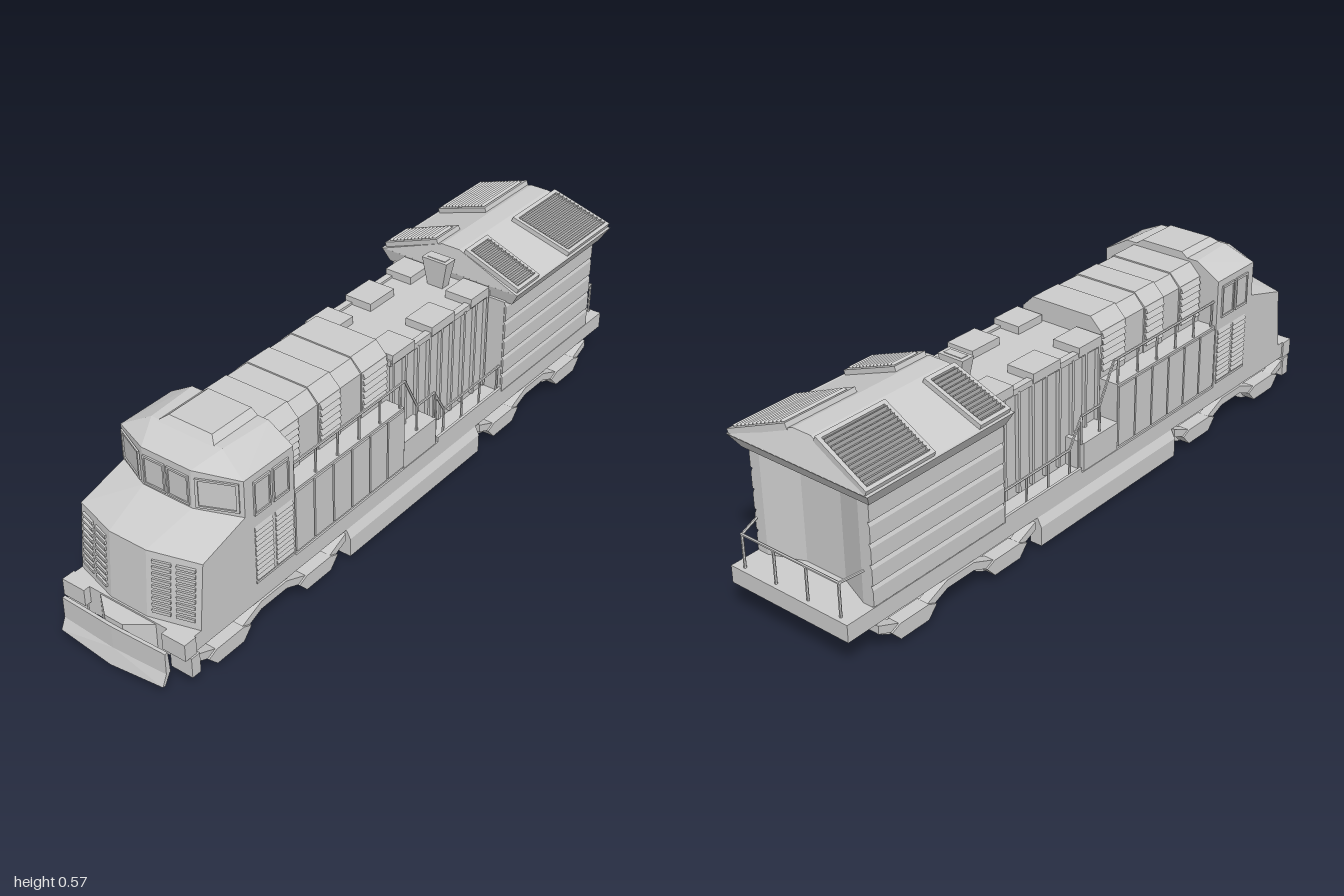
import * as THREE from 'three';
import { ConvexGeometry } from 'three/addons/geometries/ConvexGeometry.js';

const mat = new THREE.MeshStandardMaterial({ color: 0xcccccc, flatShading: true });
const V = (x, y, z) => new THREE.Vector3(x, y, z);

export function createModel() {
  const root = new THREE.Group();
  root.name = 'locomotive';

  const add = (name, geo) => {
    const mesh = new THREE.Mesh(geo, mat);
    mesh.name = name;
    root.add(mesh);
    return mesh;
  };
  const box = (name, x0, x1, y0, y1, z0, z1) => add(name,
    new THREE.BoxGeometry(x1 - x0, y1 - y0, Math.abs(z1 - z0))
      .translate((x0 + x1) / 2, (y0 + y1) / 2, (z0 + z1) / 2));
  // Convex solid from points given for +z and mirrored to -z
  const hull = (name, pts) => add(name, new ConvexGeometry(
    pts.flatMap(([x, y, z]) => [V(x, y, z), V(x, y, -z)])));
  const extrude = (pts, depth) => new THREE.ExtrudeGeometry(
    new THREE.Shape(pts.map(p => new THREE.Vector2(...p))), { depth, bevelEnabled: false });
  // [x, y] profile swept along z
  const sweepZ = (name, pts, z0, z1) => add(name, extrude(pts, z1 - z0).translate(0, 0, z0));
  // [z, y] profile swept along x
  const sweepX = (name, pts, x0, x1) => add(name,
    extrude(pts.map(([z, y]) => [-z, y]), x1 - x0).rotateY(Math.PI / 2).translate(x0, 0, 0));
  const rod = (name, a, b, r = 0.004) => {
    const d = b.clone().sub(a);
    const mesh = add(name, new THREE.CylinderGeometry(r, r, d.length(), 6));
    mesh.position.copy(a).addScaledVector(d, 0.5);
    mesh.quaternion.setFromUnitVectors(V(0, 1, 0), d.normalize());
  };
  // Stack of downward-slanting slats standing out from a side wall
  const louvers = (name, x0, x1, y0, y1, n, z, s, out) => {
    const pts = [[s * (z - 0.004), y0]], h = (y1 - y0) / n;
    for (let i = 0; i < n; i++) pts.push([s * (z + out), y0 + i * h + h * 0.1], [s * z, y0 + (i + 0.98) * h]);
    pts.push([s * (z - 0.004), y1]);
    sweepX(name, pts, x0, x1);
  };

  // Frame and fuel tank skirts
  box('frame', -0.91, 1, 0.10, 0.15, -0.2, 0.2);
  for (const s of [-1, 1]) sweepX('fuelTankSkirt', [[s * 0.175, 0.1], [s * 0.2, 0.1], [s * 0.213, 0.075],
    [s * 0.213, 0.018], [s * 0.175, 0.018]], -0.31, 0.3);

  // Bogies: side frames that dip at the axles, tied by a cross beam
  const dip = [[-0.295, 0.085], [-0.225, 0.055], [-0.125, 0.055], [-0.05, 0.086],
    [0.05, 0.086], [0.125, 0.055], [0.225, 0.055], [0.295, 0.085]];
  for (const cx of [-0.615, 0.61]) {
    box('bogieCrossBeam', cx - 0.04, cx + 0.04, 0.072, 0.1, -0.18, 0.18);
    const outline = [...dip.map(([x, y]) => [cx + x, y + 0.012]),
      ...dip.slice().reverse().map(([x, y]) => [cx + x, y - 0.012])];
    for (const s of [-1, 1]) {
      sweepZ('bogieSideFrame', outline, s * 0.19 - 0.015, s * 0.19 + 0.015);
      for (const dx of [-0.175, 0.175]) {
        const x = cx + dx;
        sweepZ('axleBox', [[x - 0.08, 0.055], [x - 0.05, 0.022], [x + 0.05, 0.022], [x + 0.08, 0.055],
          [x + 0.05, 0.068], [x - 0.05, 0.068]], s * 0.19 - 0.02, s * 0.19 + 0.02);
        const rim = Array.from({ length: 11 }, (_, i) => {
          const a = i / 5 - 1;
          return [x + 0.115 * Math.sin(a), 0.115 - 0.115 * Math.cos(a)];
        });
        sweepZ('wheel', rim, s * 0.15 - 0.01, s * 0.15 + 0.01);
      }
      box('bogieHanger', cx + 0.28, cx + 0.295, 0.06, 0.1, s * 0.14, s * 0.16);
    }
  }

  // Front pilot, steps, coupler and plow
  box('pilot', -0.925, -0.905, 0.068, 0.15, -0.18, 0.18);
  for (const s of [-1, 1]) {
    box('frontStep', -0.945, -0.905, 0.1, 0.15, s * 0.13, s * 0.205);
    box('lowerStep', -0.93, -0.9, 0.04, 0.1, s * 0.14, s * 0.21);
  }
  hull('coupler', [[-0.975, 0.09, 0.03], [-0.975, 0.145, 0.03], [-0.92, 0.07, 0.1], [-0.92, 0.145, 0.1]]);
  for (const s of [-1, 1]) {
    const w = s * 0.172;
    add('plow', new ConvexGeometry([V(-0.985, 0.13, 0), V(-0.975, 0.13, 0), V(-0.98, 0.13, w), V(-0.97, 0.13, w),
      V(-0.985, 0.06, 0), V(-0.97, 0.06, 0), V(-0.98, 0.065, w), V(-0.965, 0.065, w)]));
    add('plowLip', new ConvexGeometry([V(-0.985, 0.062, 0), V(-0.972, 0.062, 0), V(-0.98, 0.067, w),
      V(-0.967, 0.067, w), V(-1, 0.018, 0), V(-0.99, 0.018, 0), V(-0.995, 0.035, w), V(-0.985, 0.035, w)]));
  }

  // Nose and cab
  hull('nose', [[-0.92, 0.15, 0.06], [-0.88, 0.15, 0.2], [-0.905, 0.345, 0.06], [-0.86, 0.34, 0.2],
    [-0.76, 0.39, 0.08], [-0.7, 0.385, 0.2], [-0.52, 0.15, 0.2], [-0.52, 0.385, 0.2]]);
  hull('cab', [[-0.76, 0.37, 0.08], [-0.705, 0.37, 0.2], [-0.757, 0.5, 0.08], [-0.705, 0.49, 0.2],
    [-0.68, 0.535, 0.115], [-0.52, 0.37, 0.2], [-0.52, 0.49, 0.2], [-0.52, 0.535, 0.125]]);
  hull('cabRoofHatch', [[-0.7, 0.52, 0.11], [-0.52, 0.52, 0.11], [-0.665, 0.55, 0.07], [-0.52, 0.55, 0.07]]);
  // Thin window frame with a pane, centred on its own origin
  const windowAt = (name, w, h, pos, yaw) => {
    const g = new THREE.Group();
    g.name = name;
    const k = 0.86;
    const corners = (f) => [[-w, -h], [w, -h], [w, h], [-w, h]].map(([x, y]) => new THREE.Vector2(x * f / 2, y * f / 2));
    const frame = new THREE.Shape(corners(1));
    frame.holes.push(new THREE.Path(corners(k).reverse()));
    g.add(new THREE.Mesh(new THREE.ExtrudeGeometry(frame, { depth: 0.005, bevelEnabled: false }), mat));
    g.add(new THREE.Mesh(new THREE.PlaneGeometry(w * k, h * k).translate(0, 0, 0.0015), mat));
    g.position.copy(pos);
    g.rotation.y = yaw;
    root.add(g);
  };
  const slant = Math.atan2(0.054, 0.12);
  for (const s of [-1, 1]) {
    const yaw = s > 0 ? 0 : Math.PI;
    windowAt('sideWindow', 0.06, 0.1, V(-0.643, 0.42, s * 0.2), yaw);
    windowAt('sideWindow', 0.06, 0.1, V(-0.572, 0.42, s * 0.2), yaw);
    windowAt('cornerWindshield', 0.11, 0.085, V(-0.733, 0.44, s * 0.14), -Math.PI / 2 + s * slant);
    windowAt('frontWindshield', 0.07, 0.085, V(-0.759, 0.44, s * 0.039), -Math.PI / 2);
    // Slatted panels on the angled nose corners
    for (let i = 0; i < 9; i++) for (const t of [0.28, 0.72]) {
      const y = 0.175 + i * 0.018, x = -0.92 + t * 0.042 + (y - 0.15) * 0.085;
      const slat = add('noseLouver', new THREE.BoxGeometry(0.012, 0.009, 0.05));
      slat.position.set(x, y, s * (0.06 + t * 0.14));
      slat.rotation.y = s * 0.29;
    }
    // Slatted doors below the cab windows
    for (const x of [-0.673, -0.595]) louvers('cabLouver', x, x + 0.066, 0.17, 0.335, 11, 0.2, s, 0.005);
    box('cabDoorSill', -0.675, -0.53, 0.16, 0.167, s * 0.195, s * 0.203);
  }

  // Front hood: wide lower part and narrow upper part
  box('lowerHood', -0.52, -0.05, 0.15, 0.35, -0.195, 0.195);
  const hood = (d) => [[-0.132 - d, 0.34], [-0.132 - d, 0.487 + d], [-0.1, 0.523 + d], [0.1, 0.523 + d],
    [0.132 + d, 0.487 + d], [0.132 + d, 0.34]];
  sweepX('upperHood', hood(0), -0.52, -0.05);
  for (const [a, b] of [[-0.52, -0.42], [-0.34, -0.25], [-0.16, -0.05]]) {
    sweepX('hoodPanel', hood(0.004), a, b);
    for (const s of [-1, 1]) louvers('hoodLouver', a + 0.005, b - 0.005, 0.37, 0.49, 6, 0.135, s, 0.009);
  }
  for (const s of [-1, 1]) for (let i = 0; i < 6; i++) {
    const x = -0.515 + i * 0.078;
    box('hoodDoor', x, x + 0.072, 0.16, 0.343, s * 0.193, s * 0.2);
  }

  // Rear hood with ribs, roof hatches and steps up to the walkway
  box('rearHood', -0.05, 0.44, 0.15, 0.465, -0.135, 0.135);
  for (const s of [-1, 1]) {
    box('hoodEave', -0.045, 0.43, 0.455, 0.472, s * 0.125, s * 0.145);
    box('walkwayStep', -0.05, 0.1, 0.15, 0.235, s * 0.13, s * 0.198);
    for (let i = 0; i < 9; i++) {
      const x = -0.035 + i * 0.056;
      box('hoodRib', x, x + 0.009, 0.16, 0.46, s * 0.13, s * 0.146);
    }
    for (const [a, b] of [[-0.04, 0.06], [0.14, 0.25], [0.33, 0.42]]) box('roofHatch', a, b, 0.46, 0.488, s * 0.06, s * 0.148);
  }
  hull('exhaustStack', [[0.365, 0.46, 0.025], [0.395, 0.46, 0.025], [0.365, 0.5, 0.025], [0.395, 0.5, 0.025],
    [0.358, 0.55, 0.042], [0.402, 0.55, 0.042]]);
  box('exhaustOpening', 0.368, 0.392, 0.545, 0.552, -0.03, 0.03);

  // Radiator compartment with a recessed, faceted end wall and horizontal ribs
  add('radiatorBody', extrude([[0.43, -0.195], [0.91, -0.195], [0.91, -0.165], [0.87, -0.067],
    [0.87, 0.067], [0.91, 0.165], [0.91, 0.195], [0.43, 0.195]], 0.3).rotateX(-Math.PI / 2).translate(0, 0.15, 0));
  for (const s of [-1, 1]) for (let i = 0; i < 5; i++) {
    const y = 0.152 + i * 0.059;
    sweepX('radiatorRib', [[s * 0.19, y], [s * 0.2, y], [s * 0.2, y + 0.046], [s * 0.194, y + 0.058], [s * 0.19, y + 0.058]], 0.432, 0.91);
  }
  hull('radiatorEave', [[0.44, 0.445, 0.213], [0.43, 0.485, 0.236], [0.92, 0.445, 0.213], [0.945, 0.485, 0.236]]);
  hull('radiatorRoof', [[0.43, 0.484, 0.232], [0.945, 0.484, 0.232], [0.44, 0.56, 0.03], [0.915, 0.56, 0.03]]);

  // Roof grilles: raised frames around saw-tooth slats that follow the slope
  const slope = Math.atan2(0.076, 0.202);
  const on = (s, t, up) => [s * (0.232 - t * Math.cos(slope) + up * Math.sin(slope)),
    0.484 + t * Math.sin(slope) + up * Math.cos(slope)];
  const slab = (s, t0, t1, u) => [on(s, t0, -0.004), on(s, t0, u), on(s, t1, u), on(s, t1, -0.004)];
  for (const s of [-1, 1]) for (const [a, b, skew] of [[0.44, 0.552, 0], [0.7, 0.932, 0.13]]) {
    const saw = [on(s, 0.014, -0.004)];
    for (let i = 0; i < 13; i++) saw.push(on(s, 0.016 + i * 0.0134, 0.019), on(s, 0.028 + i * 0.0134, 0.004));
    saw.push(on(s, 0.192, -0.004));
    const parts = [sweepX('grilleSlats', saw, a + 0.012, b - 0.012)];
    for (const x of [a, b - 0.012]) parts.push(sweepX('grilleFrame', slab(s, 0.005, 0.2, 0.014), x, x + 0.012));
    for (const t of [0.005, 0.188]) parts.push(sweepX('grilleFrame', slab(s, t, t + 0.012, 0.014), a, b));
    // Lean the panel ends so the outer edge sits further back
    const lean = new THREE.Matrix4().set(1, 0, s * skew, -skew * 0.135, 0, 1, 0, 0, 0, 0, 1, 0, 0, 0, 0, 1);
    parts.forEach(p => p.geometry.applyMatrix4(lean));
  }

  // Handrails along both sides
  for (const s of [-1, 1]) {
    const z = s * 0.188;
    const path = [[-0.52, 0.425], [-0.04, 0.425], [0.02, 0.315], [0.1, 0.315], [0.15, 0.235], [0.43, 0.235]];
    for (let i = 0; i + 1 < path.length; i++) rod('sideRail', V(...path[i], z), V(...path[i + 1], z));
    for (const x of [-0.51, -0.42, -0.33, -0.24, -0.15, -0.06]) rod('railPost', V(x, 0.35, z), V(x, 0.425, z));
    for (const x of [0.02, 0.1]) rod('railPost', V(x, 0.23, z), V(x, 0.315, z));
    for (const x of [0.15, 0.24, 0.33, 0.42]) rod('railPost', V(x, 0.15, z), V(x, 0.235, z));
    rod('railPost', V(0.11, 0.15, z), V(0.11, 0.3, z));
    box('walkwayEdge', 0.11, 0.43, 0.15, 0.165, s * 0.192, s * 0.2);
    // Rear end railing
    rod('endRailReturn', V(0.985, 0.247, s * 0.165), V(0.92, 0.255, s * 0.183));
    for (const p of [0.055, 0.165]) rod('endRailPost', V(0.985, 0.15, s * p), V(0.985, 0.247, s * p));
  }
  rod('endRail', V(0.985, 0.247, -0.168), V(0.985, 0.247, 0.168));

  return root;
}
